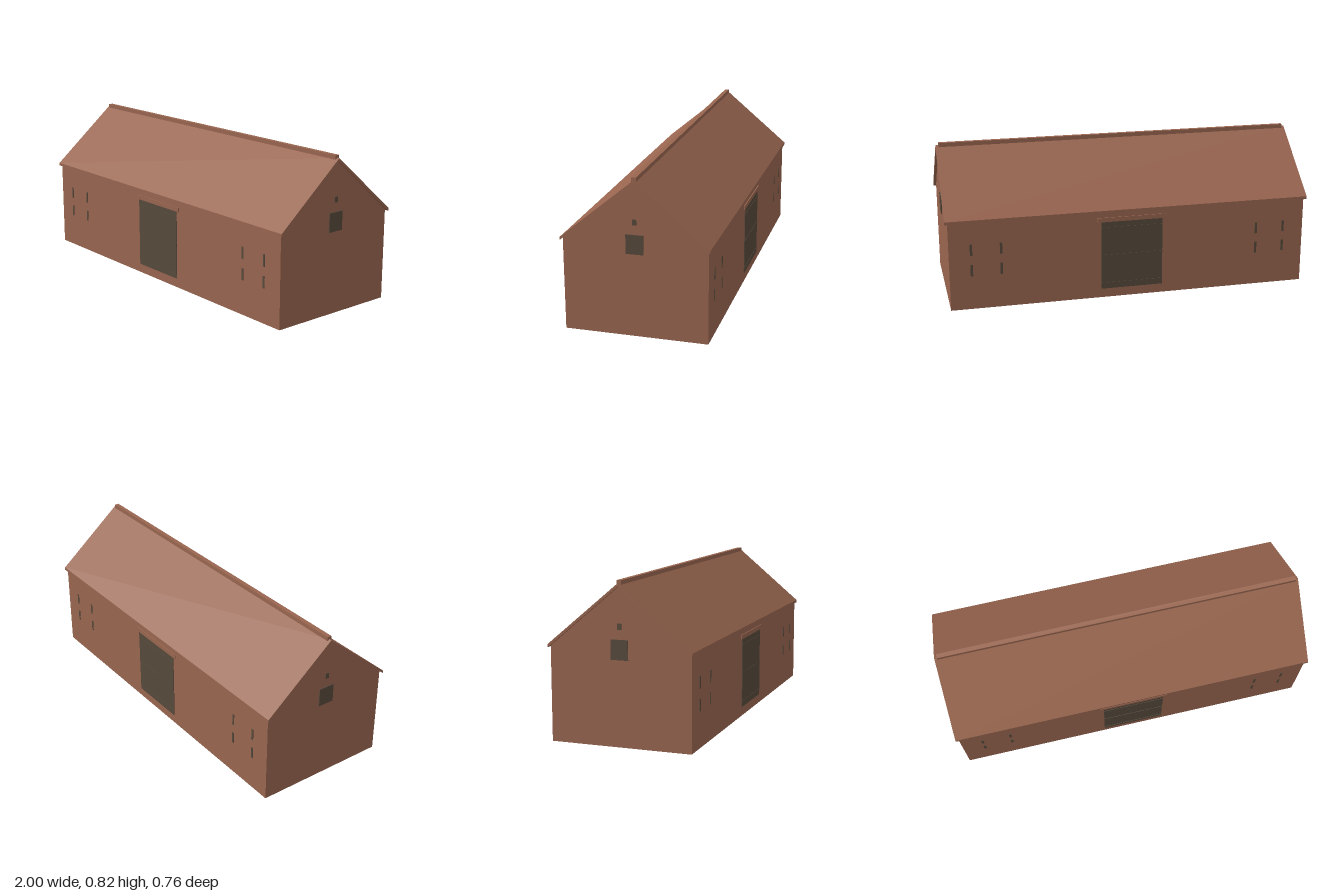
import * as THREE from 'three';

export function createModel() {
  const barn = new THREE.Group();
  barn.name = 'barn';
  const brown = new THREE.MeshStandardMaterial({ color: 0x98654f });
  brown.name = 'brown boards';
  const dark = new THREE.MeshStandardMaterial({ color: 0x56493b });
  dark.name = 'dark openings';

  const HX = 0.985, HZ = 0.37, WALL = 0.02, EAVE = 0.487, APEX = 0.795;

  function box(name, mat, w, h, d, x, y, z, parent = barn) {
    const mesh = new THREE.Mesh(new THREE.BoxGeometry(w, h, d), mat);
    mesh.name = name;
    mesh.position.set(x, y, z);
    parent.add(mesh);
    return mesh;
  }

  // Extrudes a [z, y] outline along x, centred on cx
  function extrudeX(name, points, length, cx) {
    const shape = new THREE.Shape(points.map(([z, y]) => new THREE.Vector2(-z, y)));
    const geo = new THREE.ExtrudeGeometry(shape, { depth: length, bevelEnabled: false });
    geo.translate(0, 0, -length / 2);
    geo.rotateY(Math.PI / 2);
    const mesh = new THREE.Mesh(geo, brown);
    mesh.name = name;
    mesh.position.x = cx;
    barn.add(mesh);
  }

  // Roof slab and ridge cap
  extrudeX('roof', [
    [0, 0.812], [-0.38, 0.495], [-0.38, 0.479], [0, APEX], [0.38, 0.479], [0.38, 0.495],
  ], 2, 0);
  box('ridgeCap', brown, HX * 2, 0.022, 0.024, 0, 0.814, 0);

  // Gable ends, each with a hatch and a small vent
  for (const s of [1, -1]) {
    extrudeX('gableWall', [
      [-HZ, 0], [HZ, 0], [HZ, EAVE], [0, APEX], [-HZ, EAVE],
    ], WALL, s * (HX - WALL / 2));
    box('gableHatch', dark, 0.006, 0.1, 0.09, s * (HX + 0.002), 0.486, 0);
    box('gableVent', dark, 0.004, 0.03, 0.021, s * (HX + 0.001), 0.6, 0);
  }

  // Long sides: wall, sliding door with battens and rail, slit windows
  for (const s of [1, -1]) {
    const side = new THREE.Group();
    side.name = s > 0 ? 'frontSide' : 'backSide';
    if (s < 0) side.rotation.y = Math.PI;
    barn.add(side);

    box('sideWall', brown, (HX - WALL) * 2, EAVE, WALL, 0, EAVE / 2, HZ - WALL / 2, side);
    box('door', dark, 0.34, 0.38, 0.005, 0, 0.24, HZ + 0.0005, side);
    for (const y of [0.08, 0.24, 0.395])
      box('doorBatten', dark, 0.34, 0.01, 0.005, 0, y, HZ + 0.0025, side);
    box('doorRail', brown, 0.38, 0.024, 0.006, 0, 0.442, HZ + 0.002, side);

    for (const x of [-0.868, -0.71, 0.71, 0.868])
      for (const y of [0.217, 0.33])
        box('slitWindow', dark, 0.013, 0.063, 0.004, x, y, HZ + 0.0005, side);
  }
  return barn;
}
